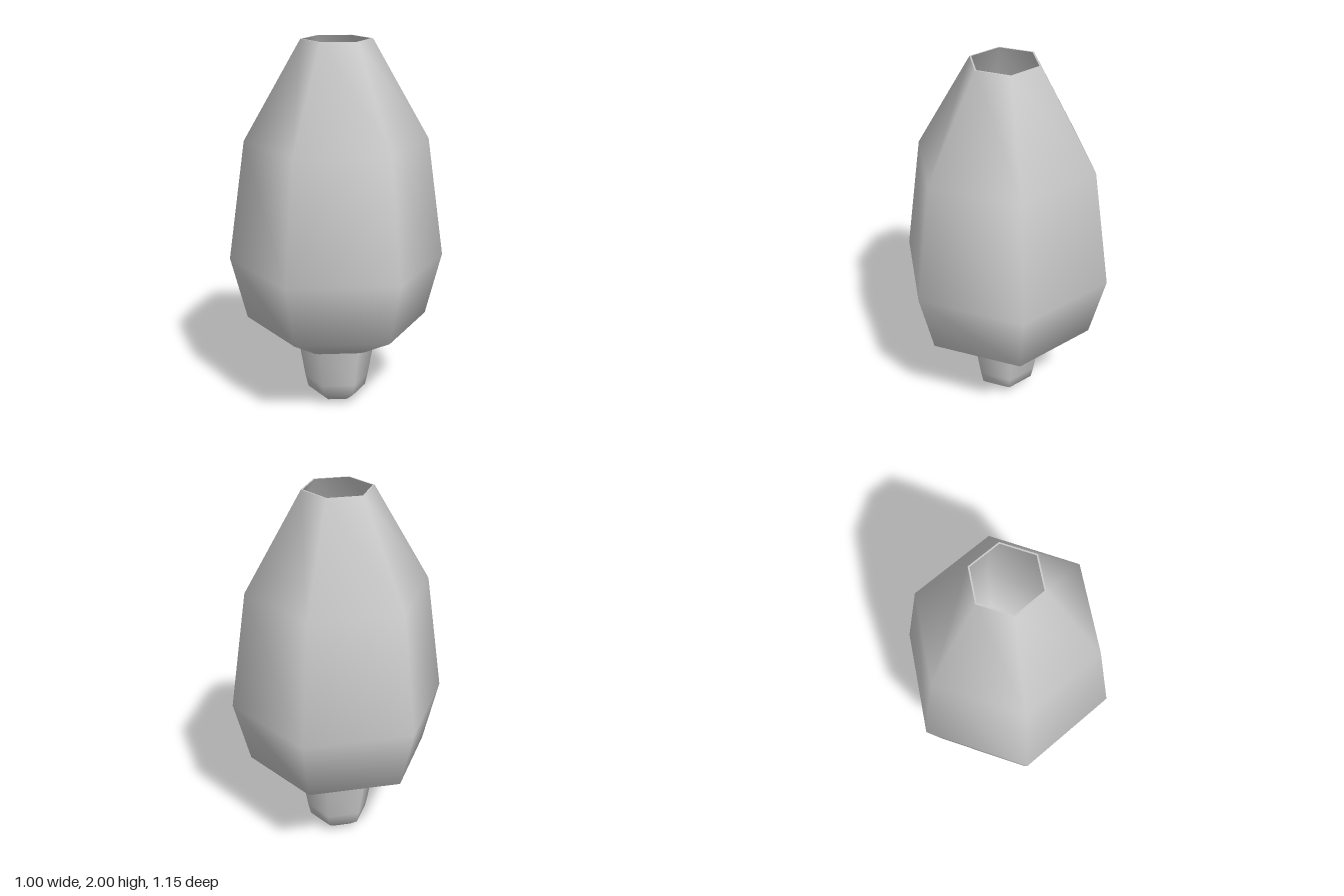
import * as THREE from 'three';

const SIDES = 6;

// Six-sided smooth lathe from [radius, height] pairs; corners lie on the z axis.
function hexLathe(name, profile) {
  const points = profile.map(([r, y]) => new THREE.Vector2(r, y));
  const mesh = new THREE.Mesh(
    new THREE.LatheGeometry(points, SIDES),
    new THREE.MeshStandardMaterial({ color: 0xcccccc, side: THREE.DoubleSide })
  );
  mesh.name = name;
  return mesh;
}

export function createModel() {
  const group = new THREE.Group();
  group.name = 'hexagonalPod';

  // Pod skin, open at the top and bottom
  const skin = [
    [0.21, 0.335], [0.265, 0.36], [0.49, 0.49], [0.577, 0.83],
    [0.486, 1.475], [0.186, 2],
  ];
  group.add(hexLathe('podSkin', skin));

  // Inner wall: the same form slightly smaller, facing inwards
  const wall = 0.009;
  const lining = skin.slice(1).map(([r, y]) => [r - wall, y]).reverse();
  group.add(hexLathe('podLining', lining));

  // Flat rim joining the two walls at the mouth
  group.add(hexLathe('podRim', [[0.186, 2], [0.186 - wall, 2]]));

  // Rounded stem, widening upwards and ending in a dome inside the pod
  group.add(hexLathe('stem', [
    [0, 0], [0.045, 0.004], [0.105, 0.02], [0.16, 0.065], [0.175, 0.13],
    [0.21, 0.335], [0.22, 0.45], [0.2, 0.56], [0.14, 0.68], [0.06, 0.75],
    [0, 0.765],
  ]));

  return group;
}
